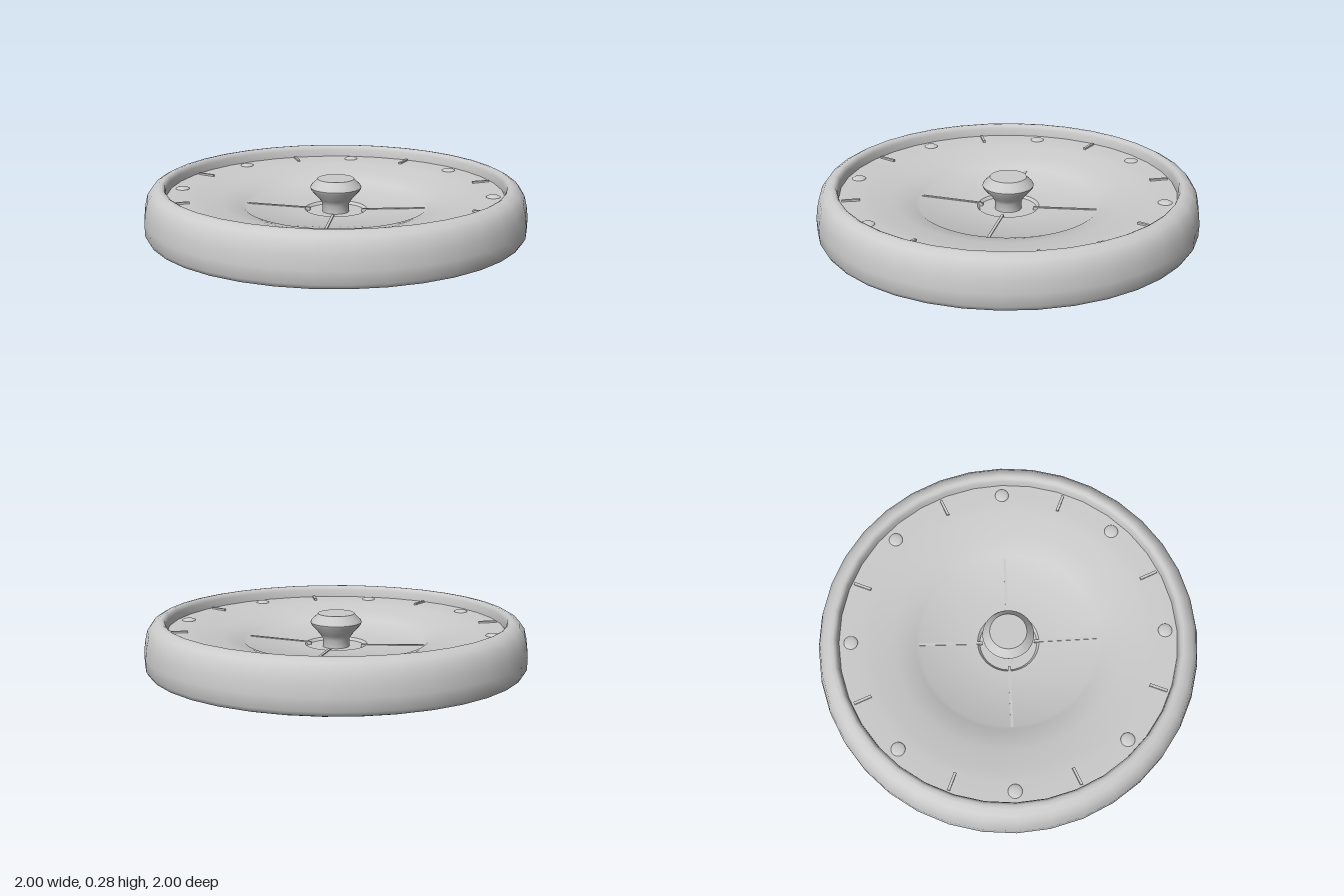
import * as THREE from 'three';
import { toCreasedNormals } from 'three/addons/utils/BufferGeometryUtils.js';

const material = new THREE.MeshStandardMaterial({ color: 0xcccccc });

function add(parent, name, geometry) {
  const mesh = new THREE.Mesh(geometry, material);
  mesh.name = name;
  parent.add(mesh);
  return mesh;
}

// Revolve a [radius, height] profile, outer side running upwards
function revolve(points, sides, crease = 0.6) {
  const profile = points.map(([r, y]) => new THREE.Vector2(r, y));
  return toCreasedNormals(new THREE.LatheGeometry(profile, sides), crease);
}

// Place copies evenly around the vertical axis; make() builds one lying along +x
function around(parent, count, offset, make) {
  for (let i = 0; i < count; i++) {
    const arm = new THREE.Group();
    arm.rotation.y = offset + (i / count) * Math.PI * 2;
    make(arm);
    parent.add(arm);
  }
}

export function createModel() {
  const model = new THREE.Group();
  model.name = 'roundDish';

  // Rounded outer ring, a closed section
  add(model, 'outerRim', revolve([
    [0.88, 0.03], [0.895, 0.008], [0.925, 0], [0.955, 0.003], [0.985, 0.013], [0.998, 0.035],
    [1, 0.1], [0.993, 0.16], [0.98, 0.215], [0.955, 0.25], [0.925, 0.267], [0.905, 0.27],
    [0.892, 0.263], [0.885, 0.245], [0.88, 0.2], [0.88, 0.03],
  ], 36, 0.9));

  // Thin stepped dish with a small hole in the middle
  const top = [
    [0.038, 0.108], [0.15, 0.108], [0.162, 0.122], [0.465, 0.136],
    [0.485, 0.15], [0.6, 0.177], [0.72, 0.199], [0.78, 0.205], [0.885, 0.207],
  ];
  const under = top.map(([r, y]) => [r, y - 0.013]);
  add(model, 'dish', revolve([...under, ...top.slice().reverse(), under[0]], 72));

  // Central knob with a flared, bevelled head
  add(model, 'knob', revolve([
    [0, 0.104], [0.07, 0.104], [0.07, 0.15], [0.085, 0.175], [0.13, 0.226],
    [0.134, 0.238], [0.128, 0.25], [0.1, 0.277], [0.096, 0.284], [0, 0.284],
  ], 36));

  // Four slim spokes following the slope of the inner dish
  around(model, 4, 0, (arm) => {
    const spoke = add(arm, 'spoke', new THREE.BoxGeometry(0.335, 0.02, 0.014));
    spoke.position.set(0.303, 0.1225, 0);
    spoke.rotation.z = Math.atan(0.014 / 0.303);
  });

  // Shallow domed studs near the rim
  around(model, 8, 0, (arm) => {
    const stud = add(arm, 'stud',
      new THREE.SphereGeometry(0.037, 24, 6, 0, Math.PI * 2, 0, Math.PI / 2));
    stud.scale.y = 0.35;
    stud.position.set(0.82, 0.205, 0);
  });

  // Narrow radial ribs between the studs
  around(model, 8, Math.PI / 8, (arm) => {
    const rib = add(arm, 'rib', new THREE.BoxGeometry(0.095, 0.018, 0.014));
    rib.position.set(0.82, 0.206, 0);
  });

  return model;
}
